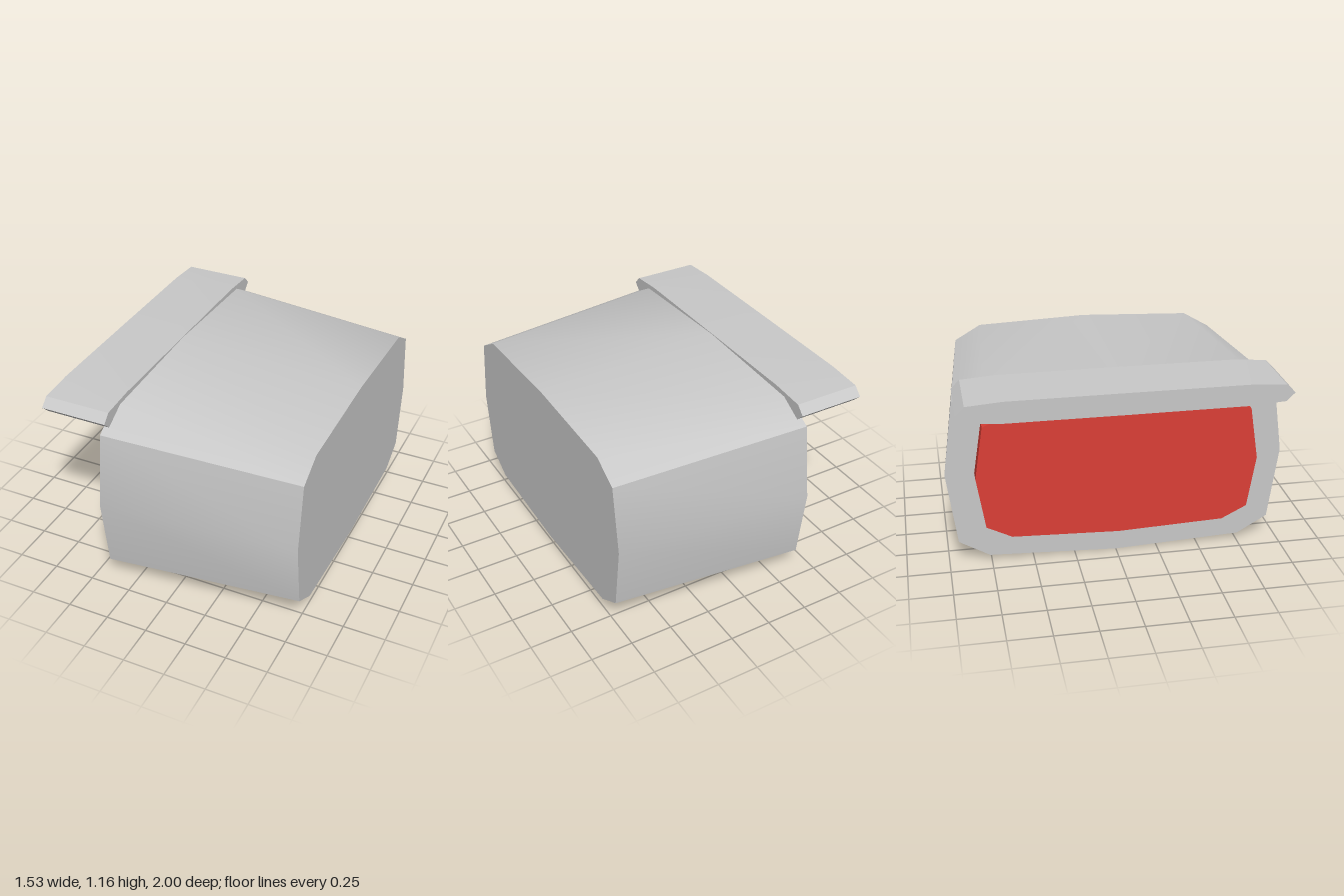
import * as THREE from 'three';
import { toCreasedNormals } from 'three/addons/utils/BufferGeometryUtils.js';

// Mirror a half outline of [z, y] points (top to bottom, z >= 0) into a closed ring
function mirrorRing(half) {
  const other = half.filter(([z]) => z > 0).reverse().map(([z, y]) => [-z, y]);
  return [...half, ...other];
}

// Scale a ring about the body's middle height
const MID = 0.585;
const scaleRing = (ring, sz, sy) => ring.map(([z, y]) => [z * sz, MID + (y - MID) * sy]);

// Closed solid between two rings lying at xA < xB
function loft(ringA, xA, ringB, xB) {
  const n = ringA.length;
  const positions = [];
  for (const [ring, x] of [[ringA, xA], [ringB, xB]]) {
    for (const [z, y] of ring) positions.push(x, y, z);
  }
  const index = [];
  for (let i = 0; i < n; i++) {
    const j = (i + 1) % n;
    index.push(i, j, n + j, i, n + j, n + i);
  }
  for (let i = 1; i < n - 1; i++) {
    index.push(0, i + 1, i, n, n + i, n + i + 1);
  }
  const geometry = new THREE.BufferGeometry();
  geometry.setAttribute('position', new THREE.Float32BufferAttribute(positions, 3));
  geometry.setIndex(index);
  return toCreasedNormals(geometry, 0.6);
}

export function createModel() {
  const grey = new THREE.MeshStandardMaterial({ color: 0xc8c8c8 });
  grey.name = 'light grey';
  const red = new THREE.MeshStandardMaterial({ color: 0xda3f36 });
  red.name = 'red';

  const group = new THREE.Group();
  const add = (name, geometry, material) => {
    const mesh = new THREE.Mesh(geometry, material);
    mesh.name = name;
    group.add(mesh);
  };

  // Tapered body with bevelled corners
  const bodyRing = mirrorRing([
    [0, 1.166], [0.76, 1.135], [0.94, 1.03], [1, MID],
    [0.94, 0.143], [0.76, 0.037], [0, 0.003],
  ]);
  add('body', loft(bodyRing, -0.4, scaleRing(bodyRing, 0.9, 0.905), 0.765), grey);

  // Red panel raised from the wide end
  const panelRing = scaleRing(bodyRing, 0.83, 0.713);
  add('panel', loft(panelRing, -0.485, panelRing, -0.4), red);

  // Flat canopy overhanging the panel
  const canopyRing = mirrorRing([
    [0, 1.168], [0.68, 1.167], [0.885, 1.152], [0.934, 1.103],
    [0.885, 1.055], [0.68, 1.041], [0, 1.04],
  ]);
  add('canopy', loft(canopyRing, -0.767, canopyRing, -0.37), grey);

  return group;
}
